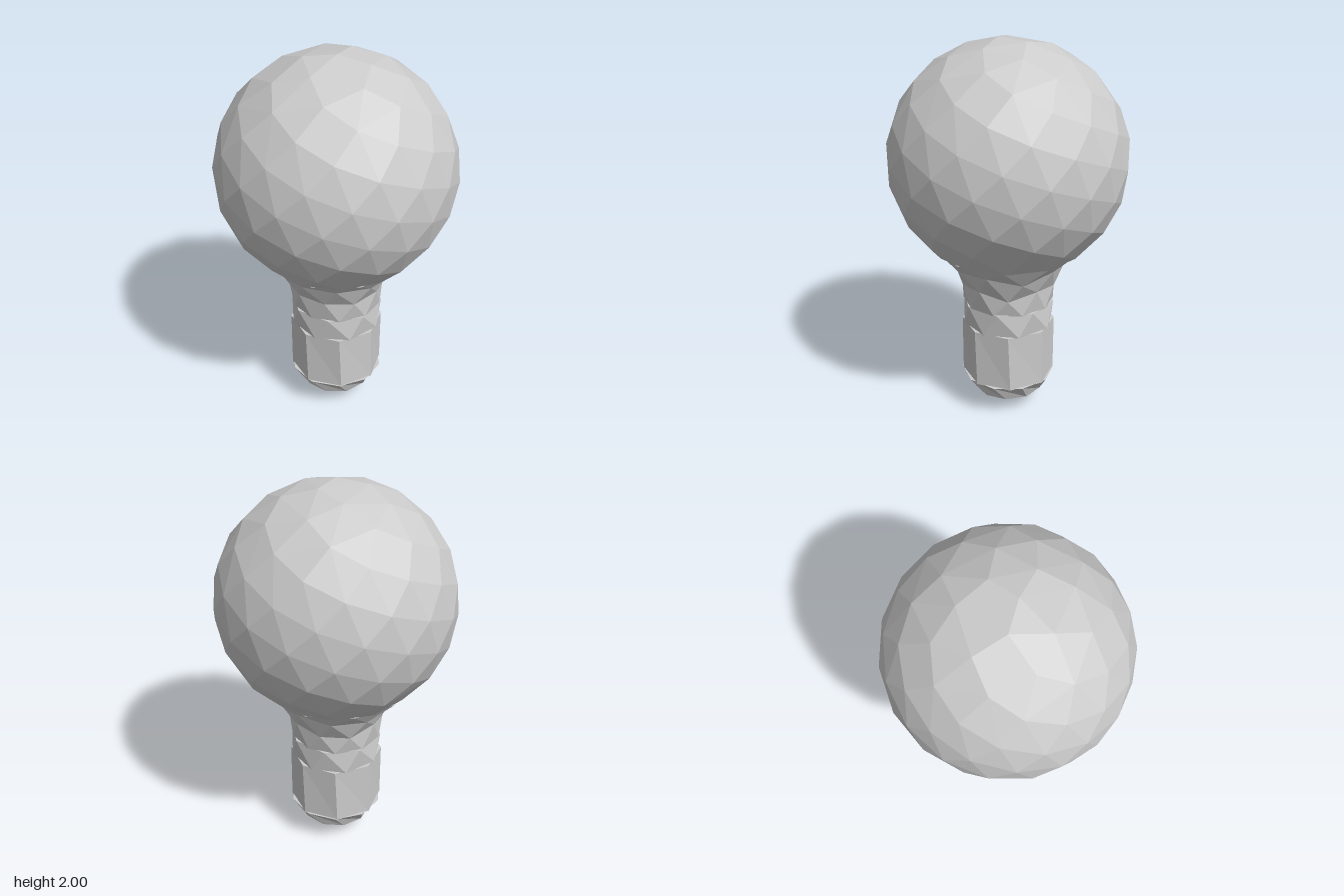
import * as THREE from 'three';
import { ConvexGeometry } from 'three/addons/geometries/ConvexGeometry.js';

const material = new THREE.MeshStandardMaterial({
  color: 0xcccccc, flatShading: true, side: THREE.DoubleSide,
});

// Skin over rings [radius, y, twist in steps, up-down wobble]; a twist of half a step gives zigzag facets.
function loft(rings, sides, caps = true) {
  const pos = [], index = [];
  for (const [r, y, twist = 0, wobble = 0] of rings) {
    for (let j = 0; j < sides; j++) {
      const a = ((j + twist) / sides) * Math.PI * 2;
      pos.push(r * Math.sin(a), y + wobble * Math.sin(j * 2.4), r * Math.cos(a));
    }
  }
  for (let i = 0; i < rings.length - 1; i++) {
    for (let j = 0; j < sides; j++) {
      const k = (j + 1) % sides;
      const a = i * sides + j, b = i * sides + k, c = a + sides, d = b + sides;
      index.push(a, b, c, b, d, c);
    }
  }
  if (caps) {
    const top = (rings.length - 1) * sides;
    for (let j = 1; j < sides - 1; j++) {
      index.push(0, j + 1, j, top, top + j, top + j + 1);
    }
  }
  const g = new THREE.BufferGeometry();
  g.setAttribute('position', new THREE.Float32BufferAttribute(pos, 3));
  g.setIndex(index);
  const flat = g.toNonIndexed();
  flat.computeVertexNormals();
  return flat;
}

// Faceted globe: evenly spiralled points on a sphere, cut flat at the rim.
function globeGeometry() {
  const count = 128, radius = 0.612, centre = 1.4, rimY = 0.93, points = [];
  for (let i = 0; i < count; i++) {
    const h = 1 - (2 * (i + 0.2)) / count;
    const y = centre + h * 0.604;
    if (y < rimY + 0.07) break;
    const s = Math.sqrt(1 - h * h) * radius, a = i * 2.39996;
    points.push(new THREE.Vector3(s * Math.sin(a), y, s * Math.cos(a)));
  }
  for (let j = 0; j < 12; j++) {
    const a = (j / 12) * Math.PI * 2;
    points.push(new THREE.Vector3(0.39 * Math.sin(a), rimY, 0.39 * Math.cos(a)));
  }
  return new ConvexGeometry(points);
}

export function createModel() {
  const group = new THREE.Group();
  const add = (name, geometry) => {
    const mesh = new THREE.Mesh(geometry, material);
    mesh.name = name;
    group.add(mesh);
  };

  add('globe', globeGeometry());
  // Flared glass between the globe and the socket
  add('neck', loft([
    [0.24, 0.62], [0.25, 0.73, 0.5, 0.02], [0.3, 0.84, 0.9, 0.02], [0.39, 0.935, 1.4],
  ], 10));
  // Socket parts
  add('collar', loft([[0.243, 0.495, 0.3], [0.245, 0.625, 0.7]], 8));
  add('base', loft([[0.247, 0.185, 0.06], [0.247, 0.497, 0]], 8));
  add('baseTaper', loft([[0.185, 0.09, 0.4], [0.25, 0.19, 0]], 10));
  add('contactTip', loft([[0.012, 0], [0.06, 0.025, 0.1], [0.105, 0.092, 0.5]], 7));
  return group;
}
